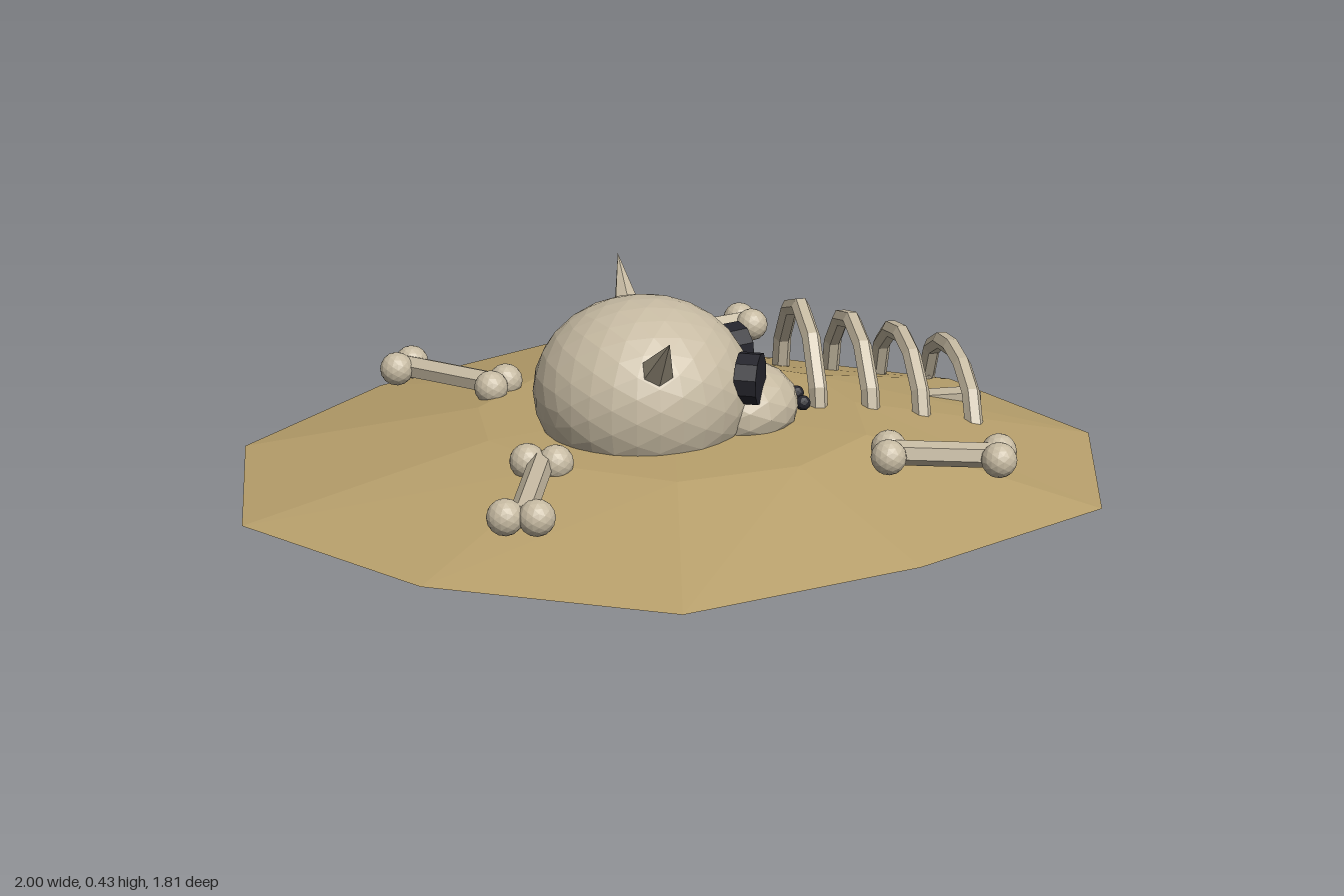
import * as THREE from 'three';

const mat = (name, color) => {
  const m = new THREE.MeshStandardMaterial({ color, flatShading: true });
  m.name = name;
  return m;
};

export function createModel() {
  const bone = mat('bone', 0xc6baa2);
  const sand = mat('sand', 0xb8a06c);
  const dark = mat('dark', 0x24242c);
  const root = new THREE.Group();
  root.name = 'bonePile';

  const add = (name, geometry, material, pos = [0, 0, 0], parent = root) => {
    const mesh = new THREE.Mesh(geometry, material);
    mesh.name = name;
    mesh.position.set(...pos);
    parent.add(mesh);
    return mesh;
  };
  const up = new THREE.Vector3(0, 1, 0);
  // A cylinder or cone from point a to point b
  const rod = (name, a, b, rTop, rBottom, sides, material, parent) => {
    const p = new THREE.Vector3(...a), q = new THREE.Vector3(...b);
    const dir = q.clone().sub(p);
    const mesh = add(name, new THREE.CylinderGeometry(rTop, rBottom, dir.length(), sides), material,
      p.clone().add(q).multiplyScalar(0.5).toArray(), parent);
    mesh.quaternion.setFromUnitVectors(up, dir.normalize());
    return mesh;
  };

  // Sand mound: irregular rim, sloping to a flat top, closed below
  const rim = [[1, 0], [0.88, 0.48], [0.4, 0.74], [-0.14, 0.9], [-0.65, 0.66], [-1, 0.25],
    [-0.97, -0.26], [-0.62, -0.64], [-0.14, -0.91], [0.38, -0.68], [0.78, -0.44]];
  const inner = [0.43, 0.46, 0.53, 0.49, 0.46, 0.44, 0.45, 0.46, 0.45, 0.5, 0.48];
  const n = rim.length;
  const verts = [];
  rim.forEach(([x, z]) => verts.push(x, 0.02, z));
  rim.forEach(([x, z], i) => verts.push(x * inner[i], 0.132, z * inner[i]));
  verts.push(0, 0.145, 0, 0, 0.02, 0);
  const faces = [];
  for (let i = 0; i < n; i++) {
    const j = (i + 1) % n;
    faces.push(i, i + n, j, j, i + n, j + n);
    faces.push(i + n, 2 * n, j + n);
    faces.push(i, j, 2 * n + 1);
  }
  const mound = new THREE.BufferGeometry();
  mound.setAttribute('position', new THREE.Float32BufferAttribute(verts, 3));
  mound.setIndex(faces);
  const moundGeo = mound.toNonIndexed();
  moundGeo.computeVertexNormals();
  add('sandMound', moundGeo, sand);

  // Skull, facing +x
  const skull = new THREE.Group();
  skull.name = 'skull';
  root.add(skull);
  add('cranium', new THREE.IcosahedronGeometry(1, 4).scale(0.25, 0.215, 0.242), bone, [-0.08, 0.216, 0.06], skull);
  add('snout', new THREE.IcosahedronGeometry(1, 2).scale(0.14, 0.1, 0.145), bone, [0.14, 0.17, 0.06], skull);
  for (const s of [-1, 1]) {
    rod('horn', [-0.08, 0.305, 0.06 + s * 0.17], [-0.08, 0.435, 0.06 + s * 0.35], 0, 0.045, 6, bone, skull);
    const cx = 0.145, cz = 0.06 + s * 0.11;
    rod('eyeSocket', [cx - 0.023, 0.265, cz - s * 0.01], [cx + 0.023, 0.265, cz + s * 0.01],
      0.06, 0.06, 10, dark, skull);
    add('nostril', new THREE.IcosahedronGeometry(0.018, 1), dark, [0.285, 0.172, 0.06 + s * 0.035], skull);
  }

  // Rib cage: four arches getting lower, joined by a mostly buried spine
  const ribs = new THREE.Group();
  ribs.name = 'ribCage';
  root.add(ribs);
  [0.34, 0.465, 0.587, 0.712].forEach((x, i) => {
    const rise = 0.262 - i * 0.041;
    const pts = [];
    for (let k = 0; k <= 6; k++) {
      const a = (k / 6) * Math.PI;
      pts.push(new THREE.Vector3(x, 0.05 + rise * Math.sin(a), -0.19 + 0.222 * Math.cos(a)));
    }
    const path = new THREE.CurvePath();
    for (let k = 0; k < 6; k++) path.add(new THREE.LineCurve3(pts[k], pts[k + 1]));
    add('rib', new THREE.TubeGeometry(new THREE.CatmullRomCurve3(pts), 6, 0.022, 6), bone, [0, 0, 0], ribs);
    // End caps
    for (const p of [pts[0], pts[6]]) {
      add('ribEnd', new THREE.CylinderGeometry(0.022, 0.022, 0.02, 6), bone, [p.x, p.y, p.z], ribs);
    }
  });
  add('spine', new THREE.BoxGeometry(0.5, 0.03, 0.05), bone, [0.53, 0.065, -0.185], ribs);

  // Loose bones: shaft with two knobs at each end, [x, z] per knob
  const looseBones = [
    [0.147, [-0.56, -0.43], [-0.6, -0.385], [-0.355, -0.255], [-0.395, -0.21]],
    [0.15, [-0.015, -0.51], [0.005, -0.46], [0.28, -0.62], [0.3, -0.565]],
    [0.143, [-0.375, 0.285], [-0.315, 0.305], [-0.465, 0.61], [-0.4, 0.625]],
    [0.137, [0.43, 0.325], [0.415, 0.385], [0.665, 0.39], [0.65, 0.445]],
  ];
  for (const [y, ...knobs] of looseBones) {
    const group = new THREE.Group();
    group.name = 'looseBone';
    root.add(group);
    for (const [x, z] of knobs) add('knob', new THREE.IcosahedronGeometry(0.04, 2), bone, [x, y, z], group);
    const mid = (a, b) => [(a[0] + b[0]) / 2, y, (a[1] + b[1]) / 2];
    rod('shaft', mid(knobs[0], knobs[1]), mid(knobs[2], knobs[3]), 0.028, 0.028, 6, bone, group);
  }
  return root;
}
